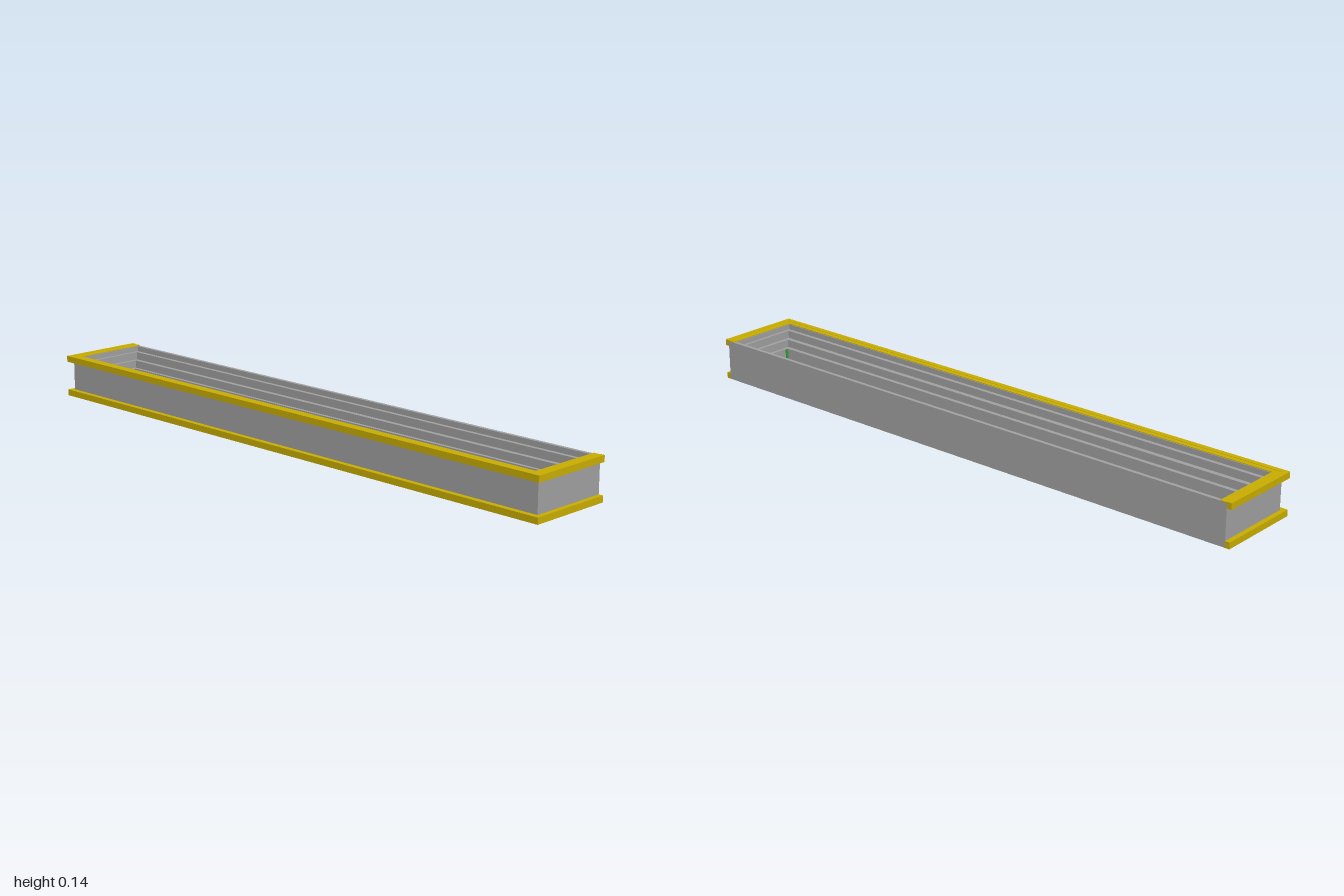
import * as THREE from 'three';

const grey = new THREE.MeshStandardMaterial({ color: 0xa3a3a3 });
const yellow = new THREE.MeshStandardMaterial({ color: 0xccb000 });
const green = new THREE.MeshStandardMaterial({ color: 0x2fa03a });

const BACK = -0.142;
const plan = (points) => points.map(([x, z]) => new THREE.Vector2(x, -z));

// Counter-clockwise rectangle in plan: half width, back z, front z
const rect = (x, back, front) => plan([[-x, front], [x, front], [x, back], [-x, back]]);

// U-shaped band around the front and both ends, open at the back
const band = (outerX, outerZ, innerX, innerZ) => plan([
  [-outerX, outerZ], [outerX, outerZ], [outerX, BACK], [innerX, BACK],
  [innerX, innerZ], [-innerX, innerZ], [-innerX, BACK], [-outerX, BACK],
]);

// Raise a plan outline into a horizontal slab between two heights
function slab(name, outline, hole, y0, y1, material) {
  const shape = new THREE.Shape(outline);
  if (hole) shape.holes.push(new THREE.Path(hole));
  const geo = new THREE.ExtrudeGeometry(shape, { depth: y1 - y0, bevelEnabled: false });
  geo.rotateX(-Math.PI / 2).translate(0, y0, 0);
  const mesh = new THREE.Mesh(geo, material);
  mesh.name = name;
  return mesh;
}

export function createModel() {
  const model = new THREE.Group();
  model.name = 'parapet';

  // Wall ring, stepping outwards on the inside as it rises
  const wall = rect(0.985, BACK, 0.125);
  const levels = [
    ['lowerWall', rect(0.927, -0.091, 0.063), 0, 0.065],
    ['middleWall', rect(0.938, -0.102, 0.077), 0.065, 0.09],
    ['upperWall', rect(0.95, -0.117, 0.093), 0.09, 0.115],
    ['wallRim', rect(0.96, -0.13, 0.106), 0.115, 0.132],
  ];
  for (const [name, inner, y0, y1] of levels) {
    model.add(slab(name, wall, inner, y0, y1, grey));
  }

  // Projecting trim, with a thin cap over the top of the wall
  const trim = band(1, 0.142, 0.985, 0.125);
  model.add(slab('lowerTrim', trim, null, 0, 0.02, yellow));
  model.add(slab('upperTrim', trim, null, 0.115, 0.135, yellow));
  model.add(slab('trimCap', band(0.985, 0.125, 0.963, 0.109), null, 0.132, 0.134, yellow));

  // Thin green strips in the inner corners
  for (const x of [-0.925, 0.925]) {
    for (const z of [-0.087, 0.059]) {
      const strip = new THREE.Mesh(new THREE.BoxGeometry(0.004, 0.06, 0.008), green);
      strip.name = 'cornerStrip';
      strip.position.set(x, 0.033, z);
      model.add(strip);
    }
  }

  return model;
}
